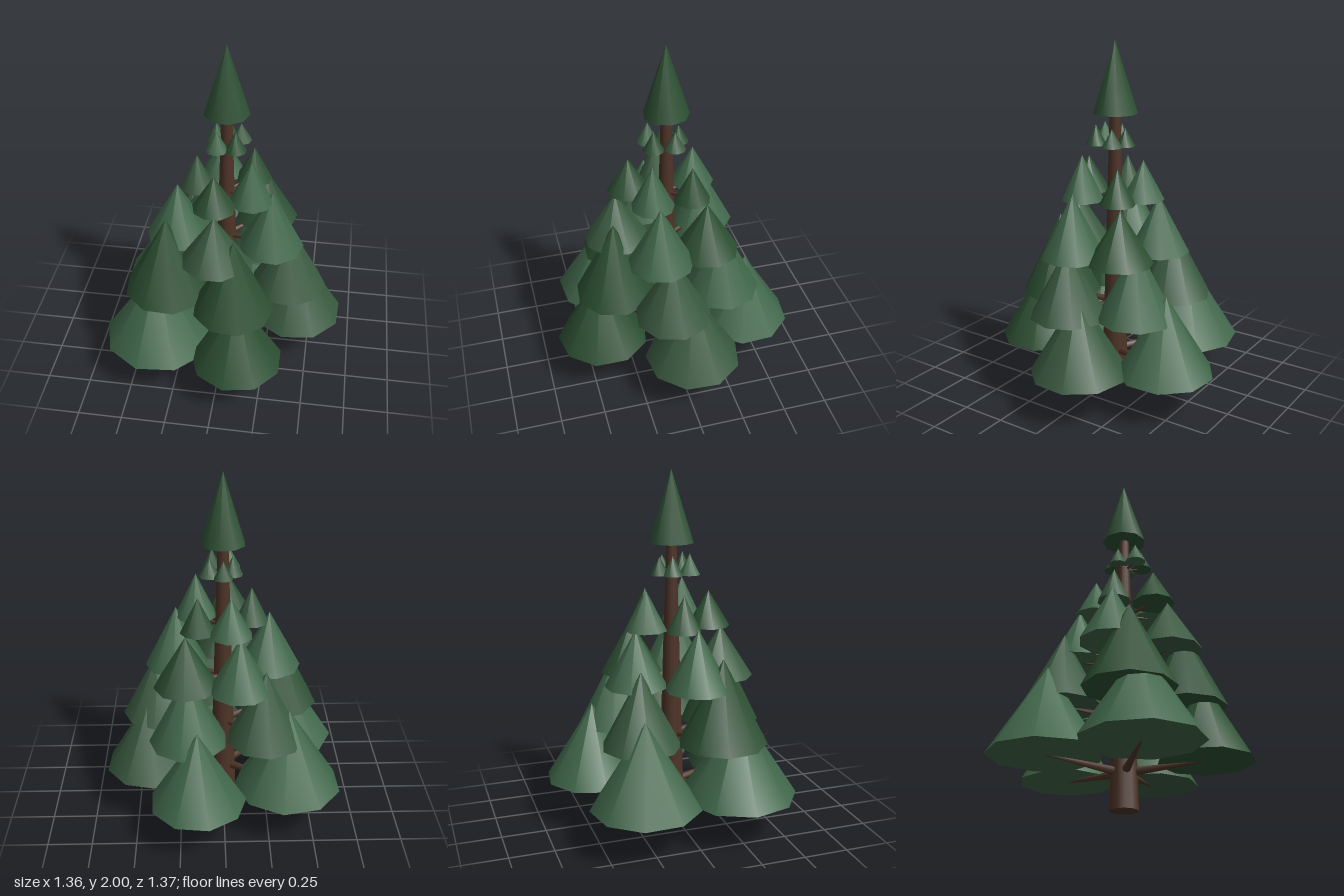
import * as THREE from 'three';

const greens = {
  d: new THREE.MeshStandardMaterial({ color: 0x2d5033 }),
  m: new THREE.MeshStandardMaterial({ color: 0x3a5a40 }),
  l: new THREE.MeshStandardMaterial({ color: 0x40674a }),
};
const bark = new THREE.MeshStandardMaterial({ color: 0x4e3428 });

// Each tier: base height, branch thickness, shade per cone, and cones as
// [x, z, radius, height, turn in degrees]
const tiers = [
  { y: 0.237, branch: 0.026, shades: 'mdlll', cones: [
    [0.419, -0.044, 0.272, 0.46, 27], [0.115, 0.419, 0.263, 0.45, 30],
    [-0.355, 0.275, 0.324, 0.495, 25], [-0.363, -0.267, 0.307, 0.48, 12],
    [0.15, -0.431, 0.272, 0.44, 33]] },
  { y: 0.535, branch: 0.022, shades: 'mddml', cones: [
    [0.37, 0.06, 0.215, 0.4, 13], [0.08, 0.325, 0.23, 0.465, 15],
    [-0.315, 0.19, 0.25, 0.475, 17], [-0.23, -0.25, 0.22, 0.42, 25],
    [0.2, -0.27, 0.22, 0.43, 9]] },
  { y: 0.835, branch: 0.018, shades: 'lmlld', cones: [
    [0.265, 0.1, 0.183, 0.355, 15], [-0.03, 0.285, 0.185, 0.29, 20],
    [-0.265, 0.065, 0.182, 0.335, 30], [-0.09, -0.235, 0.175, 0.32, 3],
    [0.21, -0.175, 0.182, 0.3, 17]] },
  { y: 1.135, branch: 0.014, shades: 'ldmld', cones: [
    [0.15, 0.115, 0.12, 0.25, 12], [-0.04, 0.205, 0.12, 0.2, 24],
    [-0.16, 0.02, 0.095, 0.205, 35], [-0.04, -0.16, 0.12, 0.22, 8],
    [0.14, -0.11, 0.1, 0.2, 20]] },
  { y: 1.43, branch: 0.009, shades: 'mdlmd', cones: [
    [0.075, -0.03, 0.058, 0.1, 10], [0.06, 0.085, 0.058, 0.115, 22],
    [-0.04, 0.093, 0.06, 0.115, 5], [-0.055, -0.01, 0.055, 0.11, 30],
    [0, -0.068, 0.055, 0.1, 16]] },
];

// Nine-sided foliage cone standing on its base
function foliage(name, x, y, z, radius, height, turn, material) {
  const mesh = new THREE.Mesh(new THREE.ConeGeometry(radius, height, 9), material);
  mesh.name = name;
  mesh.position.set(x, y + height / 2, z);
  mesh.rotation.y = THREE.MathUtils.degToRad(turn);
  return mesh;
}

// Tapered branch between two points
function branch(from, to, radius) {
  const dir = to.clone().sub(from);
  const mesh = new THREE.Mesh(
    new THREE.CylinderGeometry(radius * 0.2, radius, dir.length(), 7), bark);
  mesh.name = 'branch';
  mesh.position.copy(from).add(to).multiplyScalar(0.5);
  mesh.quaternion.setFromUnitVectors(new THREE.Vector3(0, 1, 0), dir.normalize());
  return mesh;
}

export function createModel() {
  const tree = new THREE.Group();
  tree.name = 'pineTree';

  // Tapered trunk, running up into the top cone
  const trunk = new THREE.Mesh(new THREE.CylinderGeometry(0.028, 0.077, 1.65, 12), bark);
  trunk.name = 'trunk';
  trunk.position.y = 0.825;
  tree.add(trunk);

  // Rings of branches, each carrying a cone
  tiers.forEach((tier, i) => {
    const ring = new THREE.Group();
    ring.name = `tier${i + 1}`;
    tier.cones.forEach(([x, z, r, h, turn], j) => {
      ring.add(foliage('foliage', x, tier.y, z, r, h, turn, greens[tier.shades[j]]));
      ring.add(branch(
        new THREE.Vector3(0, tier.y - 0.035 + i * 0.004, 0),
        new THREE.Vector3(x, tier.y + 0.005, z), tier.branch));
    });
    tree.add(ring);
  });

  tree.add(foliage('treetop', 0, 1.605, 0, 0.125, 0.395, 10, greens.d));
  return tree;
}
